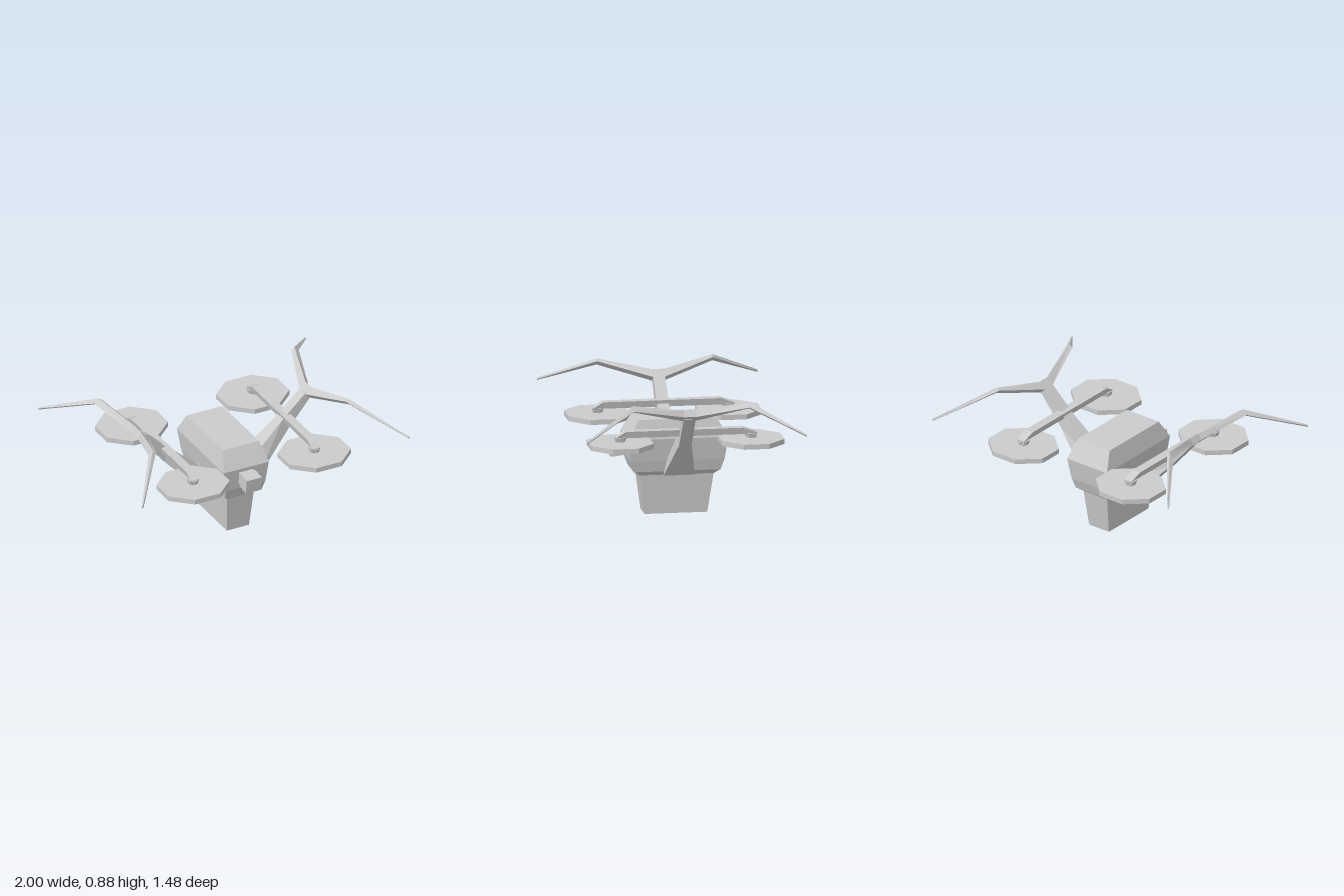
import * as THREE from 'three';

const material = new THREE.MeshStandardMaterial({ color: 0xcccccc, flatShading: true });

function addMesh(parent, name, geometry) {
  const mesh = new THREE.Mesh(geometry, material);
  mesh.name = name;
  parent.add(mesh);
  return mesh;
}

// Skin a closed faceted solid through four-cornered cross-sections, capped at both ends.
function loft(rings) {
  const tris = [];
  const quad = (a, b, c, d) => tris.push([a, b, c], [a, c, d]);
  for (let i = 0; i < rings.length - 1; i++) {
    for (let j = 0; j < 4; j++) {
      const k = (j + 1) % 4;
      quad(rings[i][j], rings[i][k], rings[i + 1][k], rings[i + 1][j]);
    }
  }
  quad(...[...rings[0]].reverse());
  quad(...rings[rings.length - 1]);

  // Turn every face outward, whichever way the sections run or are mirrored.
  const v = (p) => new THREE.Vector3(...p);
  const volume = tris.reduce((sum, [a, b, c]) => sum + v(a).dot(v(b).cross(v(c))), 0);
  if (volume < 0) tris.forEach((t) => t.reverse());

  const geometry = new THREE.BufferGeometry();
  geometry.setAttribute('position', new THREE.Float32BufferAttribute(tris.flat(2), 3));
  geometry.computeVertexNormals();
  return geometry;
}

const ARM_Z = -0.015;

// Body and the tapered belly pod: rectangles stacked in y.
function buildBody(group) {
  const slab = ([y, w, front, back]) => [[-w, y, front], [w, y, front], [w, y, back], [-w, y, back]];
  addMesh(group, 'body', loft([
    [0.265, 0.1, 0.23, -0.265],
    [0.295, 0.132, 0.275, -0.305],
    [0.37, 0.148, 0.3, -0.33],
    [0.52, 0.168, 0.316, -0.352],
    [0.648, 0.134, 0.24, -0.28],
  ].map(slab)));
  addMesh(group, 'bellyPod', loft([
    [0, 0.083, 0.195, -0.225],
    [0.27, 0.1, 0.23, -0.265],
  ].map(slab)));
}

// Tilted camera block on the nose.
function buildCamera(group) {
  const camera = new THREE.Group();
  camera.name = 'noseCamera';
  camera.position.set(0, 0.443, 0.378);
  camera.rotation.x = 0.12;
  addMesh(camera, 'cameraBlock', new THREE.BoxGeometry(0.112, 0.1, 0.088));
  addMesh(camera, 'cameraNeck', new THREE.BoxGeometry(0.104, 0.088, 0.06)).position.z = -0.06;
  group.add(camera);
}

// Arm rising from the body to the landing wing.
function buildArm(group, s) {
  // x, y, half depth of the upper edge, then of the lower edge
  const rings = [
    [0.11, 0.37, 0.06, 0.12, 0.3, 0.085],
    [0.165, 0.392, 0.07, 0.217, 0.285, 0.105],
    [0.415, 0.615, 0.04, 0.46, 0.54, 0.042],
    [0.592, 0.78, 0.04, 0.638, 0.752, 0.04],
  ].map(([ux, uy, uh, lx, ly, lh]) => [
    [s * ux, uy, ARM_Z + uh], [s * ux, uy, ARM_Z - uh],
    [s * lx, ly, ARM_Z - lh], [s * lx, ly, ARM_Z + lh],
  ]);
  addMesh(group, 'arm', loft(rings));
}

// Long bent wing with a diamond section, running front to back.
function buildWing(group, s) {
  // corner order: top, outer, bottom, inner
  const section = (z, corners) => corners.map(([x, y]) => [s * x, y, z]);
  const root = [[0.635, 0.815], [0.66, 0.775], [0.62, 0.74], [0.59, 0.772]];
  const elbow = [[0.73, 0.88], [0.762, 0.848], [0.735, 0.837], [0.706, 0.865]];
  const tip = [[0.99, 0.706], [1, 0.697], [0.993, 0.688], [0.985, 0.695]];
  addMesh(group, 'wing', loft([
    section(-0.74, tip), section(-0.395, elbow), section(-0.057, root),
    section(0.027, root), section(0.38, elbow), section(0.735, tip),
  ]));
}

// Boom with drooping ends carrying a rotor disc and hub at each end.
function buildRotors(group, s) {
  const x = s * 0.452;
  const boom = [
    [-0.488, 0.575, 0.618], [-0.4, 0.605, 0.65],
    [0.385, 0.605, 0.65], [0.448, 0.572, 0.613],
  ].map(([z, low, high]) => [
    [x - 0.031, high, z], [x + 0.031, high, z], [x + 0.02, low, z], [x - 0.02, low, z],
  ]);
  addMesh(group, 'rotorBoom', loft(boom));

  for (const z of [0.42, -0.456]) {
    const disc = new THREE.CylinderGeometry(0.226, 0.226, 0.034, 8);
    disc.rotateY(Math.PI / 8);
    disc.scale(1.09, 1, 1);
    addMesh(group, 'rotorDisc', disc).position.set(x, 0.562, z);
    const hub = new THREE.CylinderGeometry(0.042, 0.018, 0.085, 6);
    addMesh(group, 'rotorHub', hub).position.set(x, 0.568, z);
  }
}

export function createModel() {
  const model = new THREE.Group();
  model.name = 'drone';
  buildBody(model);
  buildCamera(model);
  for (const s of [1, -1]) {
    const side = new THREE.Group();
    side.name = s > 0 ? 'leftSide' : 'rightSide';
    buildArm(side, s);
    buildWing(side, s);
    buildRotors(side, s);
    model.add(side);
  }
  return model;
}
